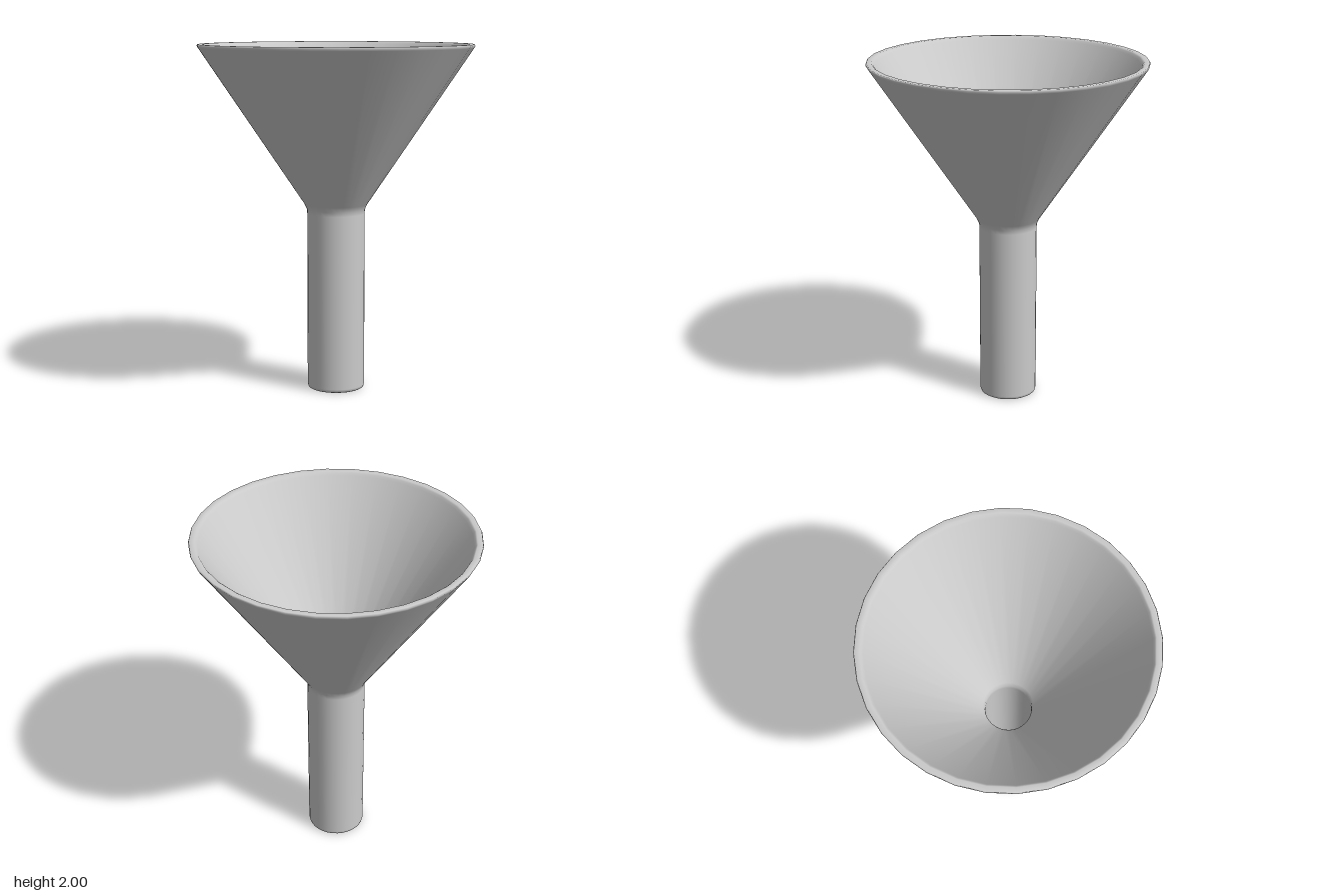
import * as THREE from 'three';

export function createModel() {
  const group = new THREE.Group();
  const material = new THREE.MeshStandardMaterial({ color: 0xcccccc });

  // Closed wall section [radius, height]: up the outside, over the rim, down the inside
  const section = [
    [0.132, 0.5], [0.132, 0.02], [0.137, 0.004], [0.145, 0],      // spout bore and lower lip
    [0.154, 0], [0.162, 0.005], [0.166, 0.02],
    [0.166, 1.03], [0.168, 1.055], [0.182, 1.085],                // spout outside, neck
    [0.783, 1.98], [0.789, 1.992], [0.785, 2],                    // cone outside, rim
    [0.757, 2], [0.748, 1.993], [0.74, 1.98],
    [0.146, 1.093], [0.134, 1.07], [0.132, 1.045], [0.132, 0.5],  // cone inside, throat
  ].map(([r, y]) => new THREE.Vector2(r, y));

  const geometry = new THREE.LatheGeometry(section, 32, THREE.MathUtils.degToRad(2.6));
  const funnel = new THREE.Mesh(geometry, material);
  funnel.name = 'funnel';
  group.add(funnel);
  return group;
}
